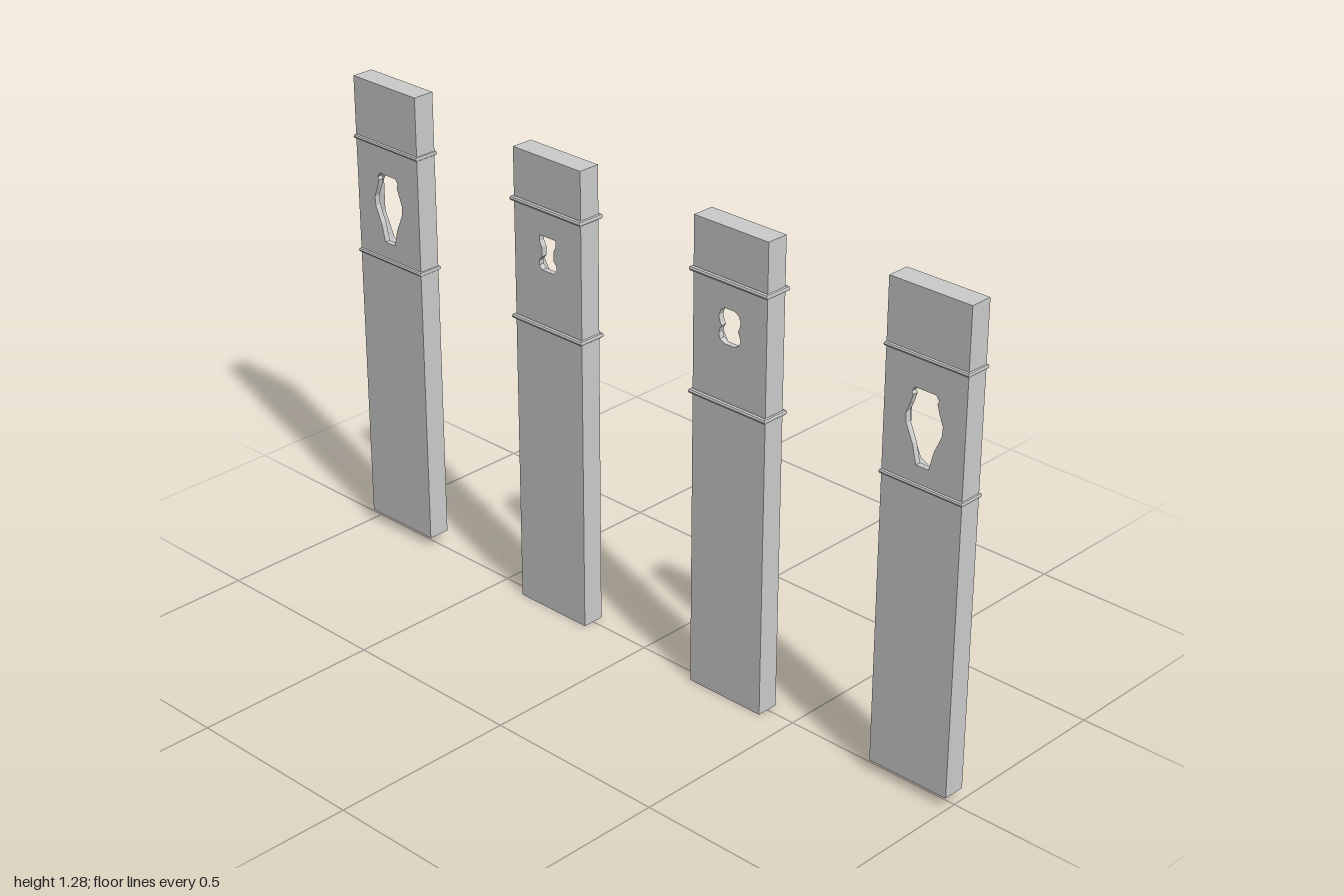
import * as THREE from 'three';
import { mergeGeometries } from 'three/addons/utils/BufferGeometryUtils.js';

const material = new THREE.MeshStandardMaterial({ color: 0xcccccc, flatShading: true });
const HALF_T = 0.03, HALF_W = 0.115, HEIGHT = 1.252, FLOOR = -0.015;

// Flat-shaded band of quads joining consecutive closed loops of Vector3
function loft(loops) {
  const pos = [];
  for (let k = 0; k + 1 < loops.length; k++) {
    const a = loops[k], b = loops[k + 1], n = a.length;
    for (let i = 0; i < n; i++) {
      const j = (i + 1) % n;
      for (const p of [a[i], b[i], b[j], a[i], b[j], a[j]]) pos.push(p.x, p.y, p.z);
    }
  }
  const g = new THREE.BufferGeometry();
  g.setAttribute('position', new THREE.Float32BufferAttribute(pos, 3));
  g.computeVertexNormals();
  return g;
}

const at = (points, z) => points.map(p => new THREE.Vector3(p.x, p.y, z));

// Flat face with a hole
function plate(outline, hole, z) {
  const shape = new THREE.Shape(outline);
  shape.holes.push(new THREE.Path(hole));
  const g = new THREE.ShapeGeometry(shape).toNonIndexed();
  g.deleteAttribute('uv');
  return g.translate(0, 0, z);
}

// Ten-sided oval with a corner at the top
function oval(cy, rx, ry) {
  return Array.from({ length: 10 }, (_, i) => {
    const t = Math.PI / 2 + i * Math.PI / 5;
    return new THREE.Vector2(Math.cos(t) * rx, cy + Math.sin(t) * ry);
  });
}

// Mirrored opening from [half width, height] pairs, listed bottom to top
function mirrored(half) {
  const right = half.map(([x, y]) => new THREE.Vector2(x, y));
  const left = half.map(([x, y]) => new THREE.Vector2(-x, y)).reverse();
  return [...right, ...left];
}

// Upright slab with a bevelled oval recess and a shaped opening through its floor
function slabGeometry({ base, cy, rim, floor, opening }) {
  const top = base + HEIGHT;
  const outline = mirrored([[HALF_W, base], [HALF_W, top]]);
  const rimLoop = oval(cy, ...rim), floorLoop = oval(cy, ...floor);
  const hole = mirrored(opening);
  return mergeGeometries([
    plate(outline, rimLoop, HALF_T),
    plate(floorLoop, hole, FLOOR),
    plate(outline, hole, HALF_T).rotateY(Math.PI),
    loft([at(outline, HALF_T), at(outline, -HALF_T)]),
    loft([at(floorLoop, FLOOR), at(rimLoop, HALF_T)]),
    loft([at(hole, -HALF_T), at(hole, FLOOR)]),
  ]);
}

// Thin rounded band wrapped round the slab with mitred corners
function bandGeometry(y, r, offset) {
  const loops = [];
  for (let k = 0; k <= 8; k++) {
    const t = -k * Math.PI / 4, out = offset + Math.cos(t) * r;
    const w = HALF_W + out * 0.6, d = HALF_T + out;
    loops.push([[w, d], [w, -d], [-w, -d], [-w, d]]
      .map(([x, z]) => new THREE.Vector3(x, y + Math.sin(t) * r, z)));
  }
  return loft(loops);
}

const tall = {
  base: 0.03, cy: 0.948, rim: [0.088, 0.138], floor: [0.066, 0.112], r: 0.006, offset: 0,
  opening: [[0.018, 0.852], [0.03, 0.9], [0.05, 0.945], [0.052, 0.97], [0.04, 1.0],
    [0.034, 1.02], [0.038, 1.028], [0.03, 1.04]],
};
const small = {
  base: 0, cy: 1.0, rim: [0.088, 0.102], floor: [0.06, 0.075], r: 0.007, offset: 0.003,
};
const rounded = {
  ...small,
  opening: [[0.015, 0.957], [0.03, 0.965], [0.034, 0.978], [0.03, 0.992], [0.025, 1.0],
    [0.03, 1.008], [0.034, 1.025], [0.028, 1.04], [0.015, 1.048]],
};
const waisted = {
  ...small,
  opening: [[0.02, 0.955], [0.03, 0.965], [0.03, 0.978], [0.02, 0.99], [0.02, 1.015],
    [0.028, 1.03], [0.028, 1.046]],
};

export function createModel() {
  const model = new THREE.Group();
  model.name = 'slabRow';
  const row = [['firstSlab', 0.882, tall], ['secondSlab', 0.303, rounded],
    ['thirdSlab', -0.297, waisted], ['fourthSlab', -0.88, tall]];
  for (const [name, z, spec] of row) {
    const post = new THREE.Group();
    post.name = name;
    const body = new THREE.Mesh(slabGeometry(spec), material);
    body.name = 'slabBody';
    post.add(body);
    for (const [label, y] of [['upperBand', 1.118], ['lowerBand', 0.802]]) {
      const band = new THREE.Mesh(bandGeometry(y, spec.r, spec.offset), material);
      band.name = label;
      post.add(band);
    }
    // recess looks toward the model's left
    post.rotation.y = Math.PI / 2;
    post.position.z = z;
    model.add(post);
  }
  return model;
}
